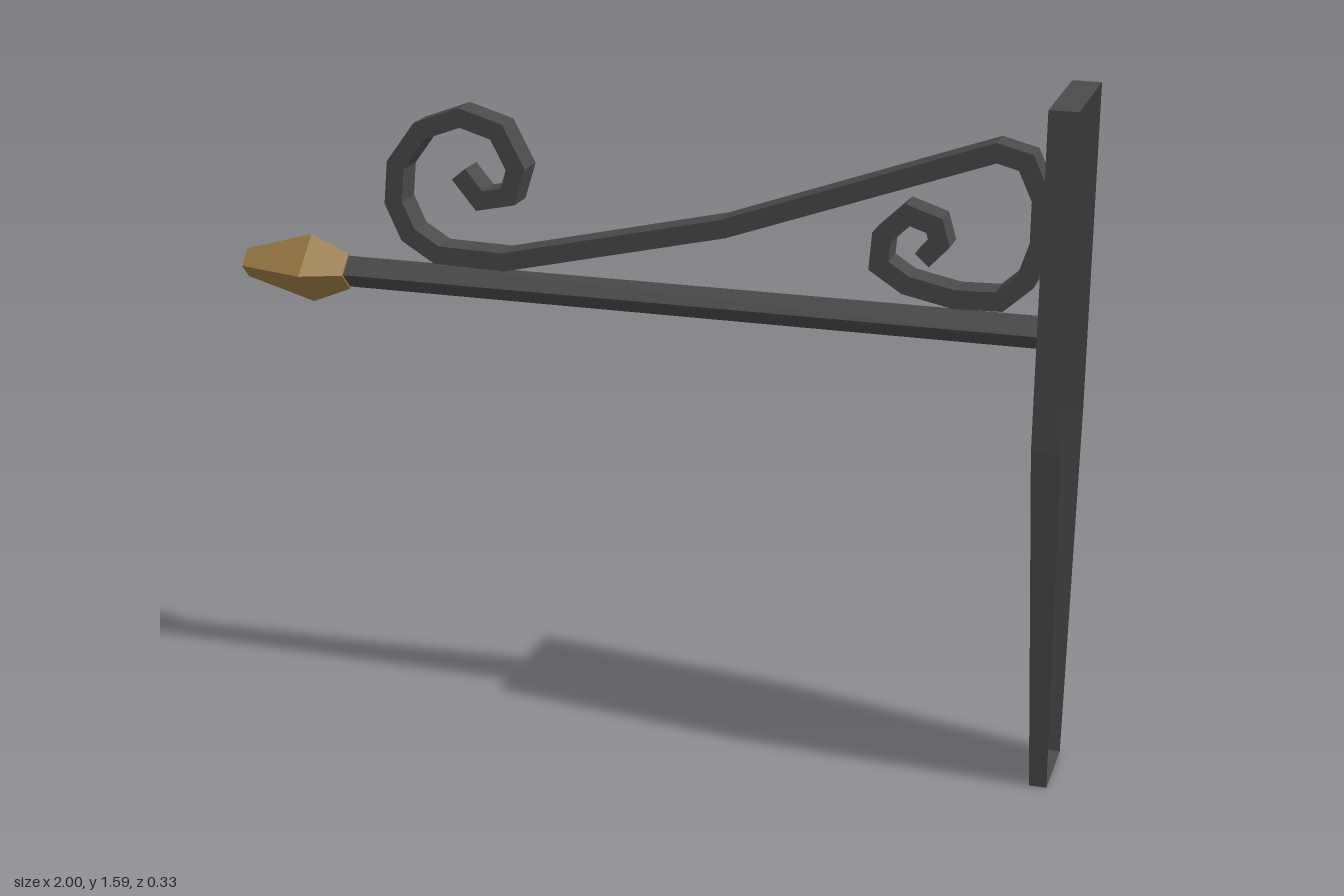
import * as THREE from 'three';

const BAR_Y = 1.053;

// Hollow wall plate, open at the back; levels run top to bottom as [y, half width, front x]
function plateGeometry() {
  const rings = [[1.585, 0.163, 0.935], [0.83, 0.163, 0.935], [0, 0.098, 0.96]].map(([y, h, x]) =>
    [[1, y, h], [x, y, h], [x, y, -h], [1, y, -h]]);
  const pos = [];
  const quad = (a, b, c, d) => pos.push(...a, ...b, ...c, ...a, ...c, ...d);
  for (let i = 0; i < rings.length - 1; i++) {
    for (let j = 0; j < 3; j++) quad(rings[i][j], rings[i][j + 1], rings[i + 1][j + 1], rings[i + 1][j]);
  }
  quad(...[...rings[0]].reverse());
  quad(...rings[rings.length - 1]);
  const geo = new THREE.BufferGeometry();
  geo.setAttribute('position', new THREE.Float32BufferAttribute(pos, 3));
  geo.computeVertexNormals();
  return geo;
}

// Flat strip following a centre line, with mitred corners
function stripGeometry(path, thickness, depth) {
  const pts = path.map(([x, y]) => new THREE.Vector2(x, y));
  const left = [], right = [];
  pts.forEach((p, i) => {
    const before = p.clone().sub(pts[Math.max(i - 1, 0)]).normalize();
    const after = pts[Math.min(i + 1, pts.length - 1)].clone().sub(p).normalize();
    const t = before.clone().add(after).normalize();
    const miter = thickness / 2 / Math.max(t.dot(i ? before : after), 0.6);
    const n = new THREE.Vector2(-t.y, t.x).multiplyScalar(miter);
    left.push(p.clone().add(n));
    right.push(p.clone().sub(n));
  });
  const shape = new THREE.Shape([...left, ...right.reverse()]);
  return new THREE.ExtrudeGeometry(shape, { depth, bevelEnabled: false }).translate(0, 0, -depth / 2);
}

export function createModel() {
  const group = new THREE.Group();
  const iron = new THREE.MeshStandardMaterial({ color: 0x4a4a4a, flatShading: true });
  const ironSheet = iron.clone();
  ironSheet.side = THREE.DoubleSide;
  const brass = new THREE.MeshStandardMaterial({ color: 0x9a7b45, flatShading: true });
  const add = (name, geo, mat) => {
    const mesh = new THREE.Mesh(geo, mat);
    mesh.name = name;
    group.add(mesh);
    return mesh;
  };

  add('wallPlate', plateGeometry(), ironSheet);

  // Square bar standing on its edge
  const bar = add('bar', new THREE.CylinderGeometry(0.038, 0.038, 1.68, 4).rotateZ(Math.PI / 2), iron);
  bar.position.set(0.1, BAR_Y, 0);

  // Four-sided finial at the free end
  const profile = [[0, 0.735], [0.044, 0.735], [0.083, 0.83], [0.035, 1], [0, 1]]
    .map(([r, y]) => new THREE.Vector2(r, y));
  const finial = add('finial', new THREE.LatheGeometry(profile, 4).rotateZ(Math.PI / 2), brass);
  finial.position.y = BAR_Y;

  // Scroll: large curl, long rising brace, small curl beside the plate
  const scrollPath = [
    [-0.435, 1.32], [-0.385, 1.26], [-0.315, 1.275], [-0.295, 1.34], [-0.34, 1.425], [-0.43, 1.452],
    [-0.53, 1.415], [-0.592, 1.33], [-0.6, 1.24], [-0.565, 1.165], [-0.495, 1.122], [-0.33, 1.118],
    [0.2, 1.24], [0.81, 1.457], [0.875, 1.44], [0.912, 1.36], [0.912, 1.26], [0.885, 1.175],
    [0.83, 1.125], [0.73, 1.122], [0.62, 1.145], [0.558, 1.185], [0.563, 1.25], [0.62, 1.305],
    [0.68, 1.285], [0.692, 1.245], [0.655, 1.205],
  ];
  add('scroll', stripGeometry(scrollPath, 0.043, 0.074), iron);

  return group;
}
